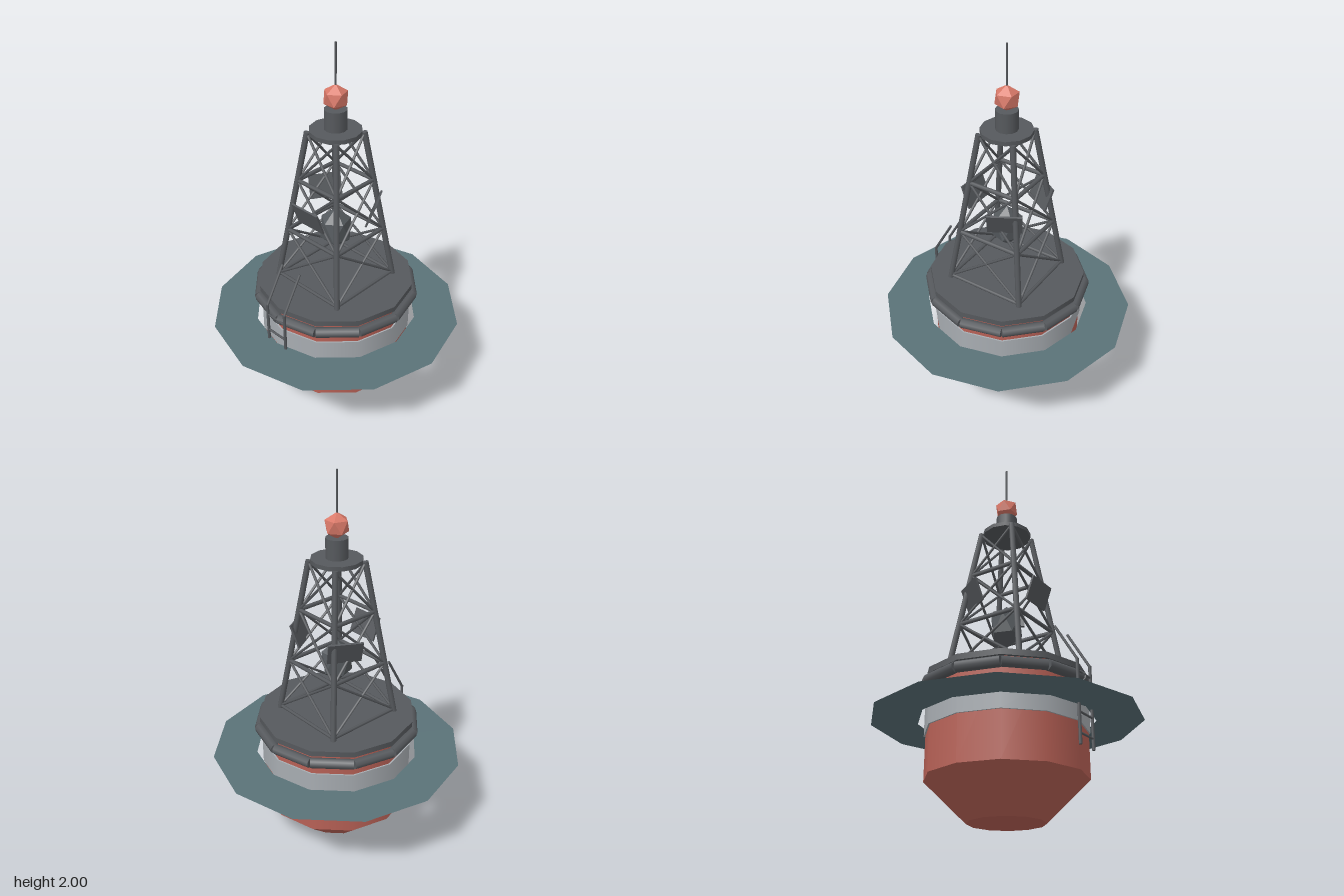
import * as THREE from 'three';

const mat = (name, color, side = THREE.FrontSide) => {
  const m = new THREE.MeshStandardMaterial({ color, side });
  m.name = name;
  return m;
};

export function createModel() {
  const red = mat('hullRed', 0xb86156);
  const grey = mat('bandGrey', 0xa8adb2);
  const dark = mat('steelDark', 0x56595d);
  const coral = mat('lanternCoral', 0xd87868);
  const teal = mat('waterTeal', 0x5a7278, THREE.DoubleSide);
  const facetDark = mat('facetedSteel', 0x565b5f);
  facetDark.flatShading = true;
  coral.flatShading = true;

  const model = new THREE.Group();
  model.name = 'buoy';
  const group = (name) => {
    const g = new THREE.Group();
    g.name = name;
    model.add(g);
    return g;
  };
  const add = (name, geo, material, parent = model) => {
    const m = new THREE.Mesh(geo, material);
    m.name = name;
    parent.add(m);
    return m;
  };
  // Upright cylinder between two heights
  const drum = (name, rBottom, rTop, y0, y1, material, sides = 12) =>
    add(name, new THREE.CylinderGeometry(rTop, rBottom, y1 - y0, sides).translate(0, (y0 + y1) / 2, 0), material);
  // Straight round bar between two points
  const up = new THREE.Vector3(0, 1, 0);
  const bar = (name, a, b, r, parent, sides = 6) => {
    const p = new THREE.Vector3(...a), q = new THREE.Vector3(...b);
    const d = q.clone().sub(p);
    const m = add(name, new THREE.CylinderGeometry(r, r, d.length(), sides), dark, parent);
    m.position.copy(p).add(q).multiplyScalar(0.5);
    m.quaternion.setFromUnitVectors(up, d.normalize());
  };
  // Icosahedron standing on a vertex
  const ico = (r) => new THREE.IcosahedronGeometry(r, 0)
    .rotateX(-Math.atan((1 + Math.sqrt(5)) / 2)).rotateY(-Math.PI / 2);

  // Hull, band and deck
  drum('hullCone', 0.19, 0.4, 0, 0.2, red);
  drum('hullDrum', 0.4, 0.4, 0.2, 0.685, red);
  drum('hullBand', 0.408, 0.408, 0.427, 0.565, grey);
  drum('deck', 0.416, 0.416, 0.68, 0.71, dark);

  // Water surface around the hull
  add('waterRing', new THREE.RingGeometry(0.44, 0.675, 12).rotateX(-Math.PI / 2).translate(0, 0.49, 0), teal);

  // Fender made of twelve straight segments
  const fender = group('fender');
  const rim = (i) => [0.42 * Math.cos(i * Math.PI / 6), 0.643, 0.42 * Math.sin(i * Math.PI / 6)];
  for (let i = 0; i < 12; i++) bar('fenderSegment', rim(i), rim(i + 1), 0.027, fender, 8);

  // Lattice tower: four legs, rails and crossed braces
  const tower = group('tower');
  const levels = [0.722, 1.0, 1.29, 1.55];
  const corner = (i, y) => {
    const h = 0.216 - (y - 0.71) * 0.14;
    const a = Math.PI / 4 + i * Math.PI / 2;
    return [Math.SQRT2 * h * Math.cos(a), y, Math.SQRT2 * h * Math.sin(a)];
  };
  for (let i = 0; i < 4; i++) {
    bar('towerLeg', corner(i, 0.705), corner(i, 1.555), 0.015, tower, 8);
    for (let k = 0; k < 3; k++) {
      bar('towerRail', corner(i, levels[k]), corner(i + 1, levels[k]), k ? 0.011 : 0.009, tower);
      bar('towerBrace', corner(i, levels[k]), corner(i + 1, levels[k + 1]), 0.007, tower);
      bar('towerBrace', corner(i + 1, levels[k]), corner(i, levels[k + 1]), 0.007, tower);
    }
  }

  // Top platform, lantern and antenna
  drum('topPlatform', 0.132, 0.132, 1.55, 1.572, dark);
  drum('lanternBase', 0.057, 0.057, 1.57, 1.675, dark);
  add('lantern', ico(0.066).translate(0, 1.733, 0), coral);
  drum('antenna', 0.005, 0.005, 1.78, 2, dark, 6);

  // Faceted radar reflector hanging inside the tower
  add('radarReflector', ico(0.09).scale(1, 1.32, 1).translate(0, 1.007, 0), facetDark);

  // Three solar panels leaning outward at the top
  const panels = group('solarPanels');
  for (let i = 0; i < 3; i++) {
    const geo = new THREE.BoxGeometry(0.01, 0.128, 0.175)
      .rotateZ(-0.36).translate(0.198, 1.15, 0).rotateY(Math.PI + i * Math.PI * 2 / 3);
    add('solarPanel', geo, dark, panels);
  }

  // Ladder on the right side with bent handrails
  const ladder = group('ladder');
  for (const z of [-0.063, 0.063]) {
    bar('ladderRail', [-0.438, 0.295, z], [-0.438, 0.712, z], 0.008, ladder);
    bar('ladderHandrail', [-0.438, 0.708, z], [-0.323, 0.905, z], 0.007, ladder);
  }
  for (let i = 0; i < 4; i++) {
    const y = 0.35 + i * 0.1;
    bar('ladderRung', [-0.438, y, -0.063], [-0.438, y, 0.063], 0.006, ladder);
  }
  return model;
}
